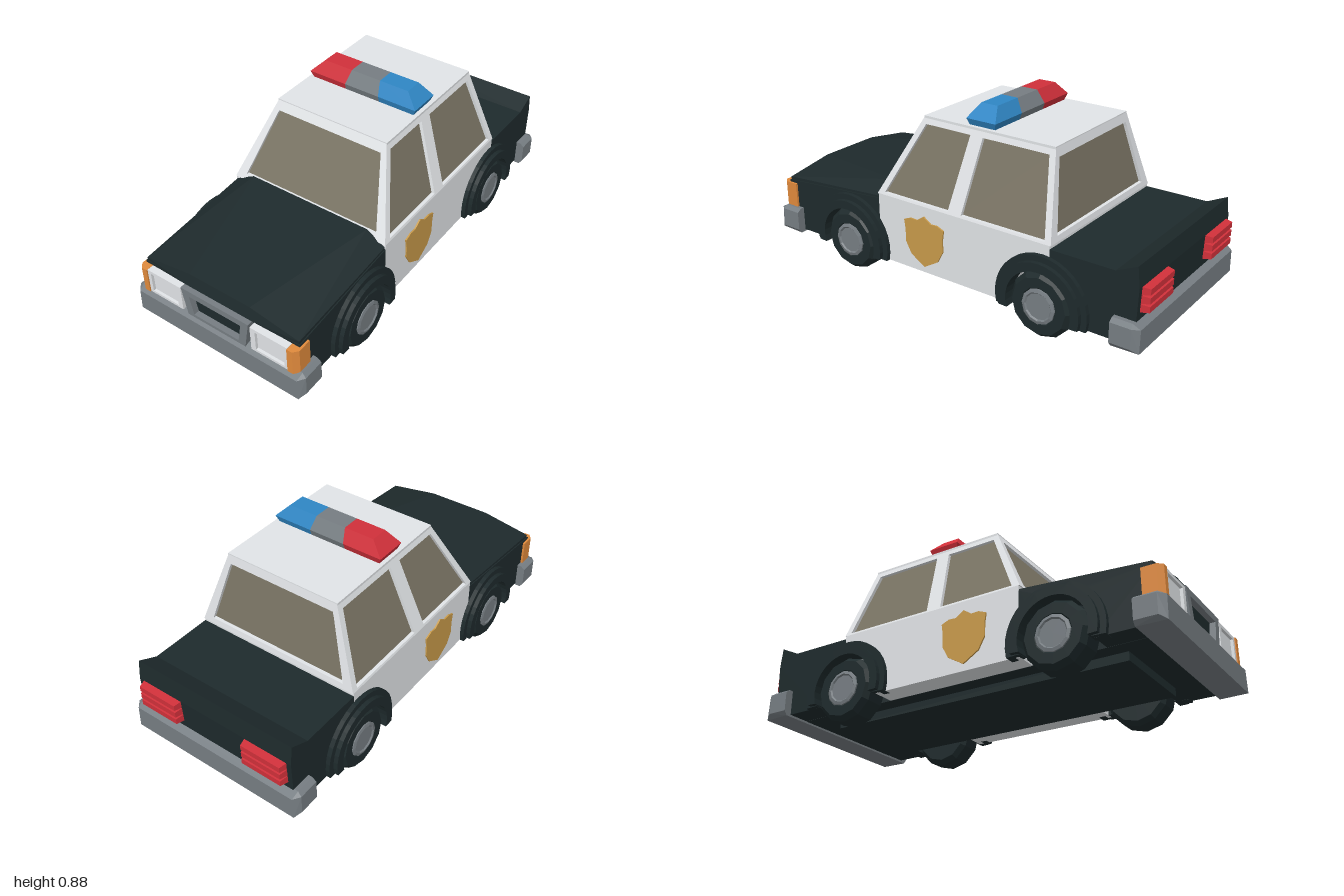
import * as THREE from 'three';
import { ConvexGeometry } from 'three/addons/geometries/ConvexGeometry.js';

const paint = (name, color) => {
  const m = new THREE.MeshStandardMaterial({ color });
  m.name = name;
  return m;
};

export function createModel() {
  const black = paint('black paint', 0x1e2a2c);
  const white = paint('white paint', 0xe2e5e8);
  const glass = paint('tinted glass', 0x7a7464);
  const grey = paint('grey trim', 0x767d82);
  const red = paint('red lens', 0xd0303a);
  const blue = paint('blue lens', 0x2f86c4);
  const orange = paint('orange lens', 0xe08a3c);
  const gold = paint('gold badge', 0xc89a4a);

  const car = new THREE.Group();
  car.name = 'patrolCar';

  const add = (name, geo, mat) => {
    const mesh = new THREE.Mesh(geo, mat);
    mesh.name = name;
    car.add(mesh);
    return mesh;
  };

  // Moves every vertex by a linear rule, keeps faces outward, facets the result
  const warp = (source, rule) => {
    const geo = source.index ? source.toNonIndexed() : source.clone();
    const at = (x, y, z) => new THREE.Vector3(...rule(x, y, z));
    const o = at(0, 0, 0);
    const [ex, ey, ez] = [at(1, 0, 0), at(0, 1, 0), at(0, 0, 1)].map((v) => v.sub(o));
    const flip = ex.dot(ey.cross(ez)) < 0;
    const p = geo.attributes.position;
    const out = [];
    for (let i = 0; i < p.count; i += 3) {
      for (const k of flip ? [0, 2, 1] : [0, 1, 2]) {
        out.push(...rule(p.getX(i + k), p.getY(i + k), p.getZ(i + k)));
      }
    }
    const result = new THREE.BufferGeometry();
    result.setAttribute('position', new THREE.Float32BufferAttribute(out, 3));
    result.computeVertexNormals();
    return result;
  };

  const mirrorX = (geo) => warp(geo, (x, y, z) => [-x, y, z]);
  const addPair = (name, geo, mat) => {
    add(name + 'Left', geo, mat);
    add(name + 'Right', mirrorX(geo), mat);
  };
  const hull = (pts) => new ConvexGeometry(pts.map((p) => new THREE.Vector3(...p)));
  const symmetric = (pts) => hull(pts.flatMap(([x, y, z]) => [[x, y, z], [-x, y, z]]));
  const box = (x0, x1, y0, y1, z0, z1) =>
    new THREE.BoxGeometry(x1 - x0, y1 - y0, z1 - z0)
      .translate((x0 + x1) / 2, (y0 + y1) / 2, (z0 + z1) / 2);
  const poly = (pts) => new THREE.Shape(pts.map((p) => new THREE.Vector2(...p)));
  const slab = (shape, depth, holes = []) => {
    shape.holes = holes.map(poly);
    return new THREE.ExtrudeGeometry(shape, { depth, bevelEnabled: false, curveSegments: 10 });
  };

  // Lower body: side outlines with wheel cut-outs, swept across the width
  const AXLE = 0.53, HUB_Y = 0.15, CUT = 0.17, LOW = -0.2985, SPLIT = 1.748;
  const across = (shape) => warp(slab(shape, 0.82), (z, y, d) => [d - 0.41, y, z]);

  const front = poly([[0.36, 0.395], [0.95, 0.345], [0.95, 0.1], [0.6925, 0.1]]);
  front.absarc(AXLE, HUB_Y, CUT, LOW, Math.PI, false);
  add('frontBody', across(front), black);

  const doors = poly([[-0.56, 0.42], [0.36, 0.42], [0.36, 0.1], [-0.3675, 0.1]]);
  doors.absarc(-AXLE, HUB_Y, CUT, LOW, SPLIT, false);
  add('doors', across(doors), white);

  const rear = poly([[-0.955, 0.1], [-0.965, 0.36], [-0.955, 0.45], [-0.86, 0.405],
    [-0.56, 0.405], [-0.56, 0.317]]);
  rear.absarc(-AXLE, HUB_Y, CUT, SPLIT, Math.PI - LOW, false);
  add('rearBody', across(rear), black);

  add('wheelWellCore', box(-0.305, 0.305, 0.099, 0.33, -0.94, 0.94), black);
  add('underbody', box(-0.23, 0.23, 0.06, 0.1, -0.72, 0.75), black);

  // Raised hood narrowing towards the nose
  add('hood', symmetric([
    [0.31, 0.455, 0.355], [0.405, 0.405, 0.355], [0.405, 0.33, 0.355],
    [0.16, 0.4, 0.945], [0.405, 0.36, 0.945], [0.405, 0.33, 0.945], [0.17, 0.345, 0.96],
  ]), black);

  // Cabin: sloping frames with inset panes
  const Y0 = 0.42, Y1 = 0.785;
  const slope = (a, b) => (y) => a + ((y - Y0) / (Y1 - Y0)) * (b - a);
  const sideX = slope(0.41, 0.285), frontZ = slope(0.365, 0.18), rearZ = slope(-0.565, -0.5);
  const sideRule = (z, y, d) => [sideX(y) - d, y, z];
  const frontRule = (x, y, d) => [x, y, frontZ(y) - d];
  const rearRule = (x, y, d) => [x, y, rearZ(y) + d];

  const sideOuter = [[0.365, Y0], [0.18, Y1], [-0.5, Y1], [-0.565, Y0]];
  const sideHoles = [
    [[0.325, 0.43], [0.165, 0.755], [-0.078, 0.755], [-0.036, 0.43]],
    [[-0.108, 0.43], [-0.143, 0.755], [-0.48, 0.755], [-0.535, 0.43]],
  ];
  const endOuter = [[-0.41, Y0], [0.41, Y0], [0.285, Y1], [-0.285, Y1]];
  const endHole = [[-0.355, 0.445], [0.355, 0.445], [0.27, 0.745], [-0.27, 0.745]];
  const pane = (pts, rule) =>
    warp(slab(poly(pts), 0.006), (u, v, d) => rule(u, v, d + 0.016));

  addPair('sideFrame', warp(slab(poly(sideOuter), 0.03, sideHoles), sideRule), white);
  sideHoles.forEach((h, i) => addPair(i ? 'rearSideWindow' : 'frontSideWindow', pane(h, sideRule), glass));
  add('windscreenFrame', warp(slab(poly(endOuter), 0.03, [endHole]), frontRule), white);
  add('windscreen', pane(endHole, frontRule), glass);
  add('rearWindowFrame', warp(slab(poly(endOuter), 0.03, [endHole]), rearRule), white);
  add('rearWindow', pane(endHole, rearRule), glass);
  add('roof', box(-0.287, 0.287, 0.765, 0.79, -0.5, 0.18), white);

  // Roof light bar: tapered sections side by side
  const barEnd = (low, mid, top) => [
    [low, 0.785, -0.055], [low, 0.785, -0.185], [mid, 0.82, -0.045], [mid, 0.82, -0.197],
    [top, 0.88, -0.08], [top, 0.88, -0.165],
  ];
  const lamp = hull([...barEnd(0.09, 0.088, 0.075), ...barEnd(0.265, 0.28, 0.22)]);
  add('blueBeacon', lamp, blue);
  add('redBeacon', mirrorX(lamp), red);
  add('lightBarCentre', symmetric(barEnd(0.09, 0.088, 0.075)), grey);

  // Bumpers with bevelled edges
  for (const [name, s, inner, outer] of [['frontBumper', 1, 0.87, 1], ['rearBumper', -1, 0.865, 0.99]]) {
    add(name, symmetric([
      [0.435, 0.09, s * inner], [0.45, 0.11, s * inner], [0.45, 0.2, s * inner], [0.43, 0.215, s * inner],
      [0.45, 0.11, s * (outer - 0.03)], [0.45, 0.2, s * (outer - 0.03)], [0.43, 0.215, s * (outer - 0.035)],
      [0.43, 0.09, s * outer], [0.425, 0.195, s * outer],
    ]), grey);
  }

  // Nose: grille, headlights and wrap-around indicators
  add('grilleFrame', slab(poly([[-0.155, 0.205], [0.155, 0.205], [0.18, 0.345], [-0.18, 0.345]]), 0.035,
    [[[-0.12, 0.22], [0.12, 0.22], [0.138, 0.315], [-0.138, 0.315]]]).translate(0, 0, 0.95), grey);
  add('grille', box(-0.145, 0.145, 0.21, 0.325, 0.945, 0.958), black);
  addPair('headlightFrame', slab(poly([[0.185, 0.21], [0.372, 0.21], [0.372, 0.335], [0.185, 0.335]]), 0.035,
    [[[0.21, 0.222], [0.355, 0.222], [0.355, 0.32], [0.21, 0.32]]]).translate(0, 0, 0.948), white);
  addPair('headlight', box(0.205, 0.36, 0.218, 0.325, 0.945, 0.97), white);
  addPair('indicator', hull([0.21, 0.335].flatMap((y) => [
    [0.373, y, 0.9], [0.42, y, 0.9], [0.42, y, 0.965], [0.4, y, 0.988], [0.373, y, 0.988],
  ])), orange);

  // Tail lights: stacked ribs
  for (let i = 0; i < 3; i++) {
    const y = 0.245 + i * 0.038;
    addPair('tailLight', hull([
      [0.17, y, -0.95], [0.39, y, -0.95], [0.17, y + 0.038, -0.95], [0.39, y + 0.038, -0.95],
      [0.18, y + 0.006, -0.998], [0.378, y + 0.006, -0.998],
      [0.18, y + 0.032, -0.998], [0.378, y + 0.032, -0.998],
    ]), red);
  }

  // Door shields
  const half = [[0, 0.375], [0.04, 0.348], [0.075, 0.35], [0.112, 0.335],
    [0.105, 0.29], [0.105, 0.23], [0.075, 0.175], [0, 0.13]];
  const shield = [...half, ...half.slice(1, -1).reverse().map(([z, y]) => [-z, y])];
  addPair('doorBadge', warp(slab(poly(shield), 0.008), (z, y, d) => [0.409 + d, y, z + 0.094]), gold);

  // Wheels and stepped arches
  const lathe = (pts) => warp(
    new THREE.LatheGeometry(pts.map((p) => new THREE.Vector2(...p)), 12).rotateZ(-Math.PI / 2),
    (x, y, z) => [x + 0.31, y, z]);
  const tyre = lathe([[0, 0], [0.13, 0], [0.15, 0.02], [0.15, 0.105], [0.13, 0.13], [0.085, 0.13], [0.075, 0.12], [0, 0.12]]);
  const hub = lathe([[0.08, 0.118], [0.08, 0.132], [0.066, 0.136], [0.06, 0.13], [0, 0.13]]);
  const arch = (rIn, rOut, xOut) => {
    const s = new THREE.Shape();
    s.absarc(0, 0, rOut, -0.23, Math.PI + 0.23, false);
    s.absarc(0, 0, rIn, Math.PI + 0.3, -0.3, true);
    return warp(slab(s, xOut - 0.38), (z, y, d) => [0.38 + d, y, z]);
  };
  const outerArch = arch(0.165, 0.225, 0.43), innerArch = arch(0.158, 0.198, 0.45);
  for (const [name, z] of [['front', AXLE], ['rear', -AXLE]]) {
    const place = (geo) => geo.clone().translate(0, HUB_Y, z);
    addPair(name + 'Tyre', place(tyre), black);
    addPair(name + 'Hub', place(hub), grey);
    addPair(name + 'OuterArch', place(outerArch), black);
    addPair(name + 'InnerArch', place(innerArch), black);
  }

  return car;
}
